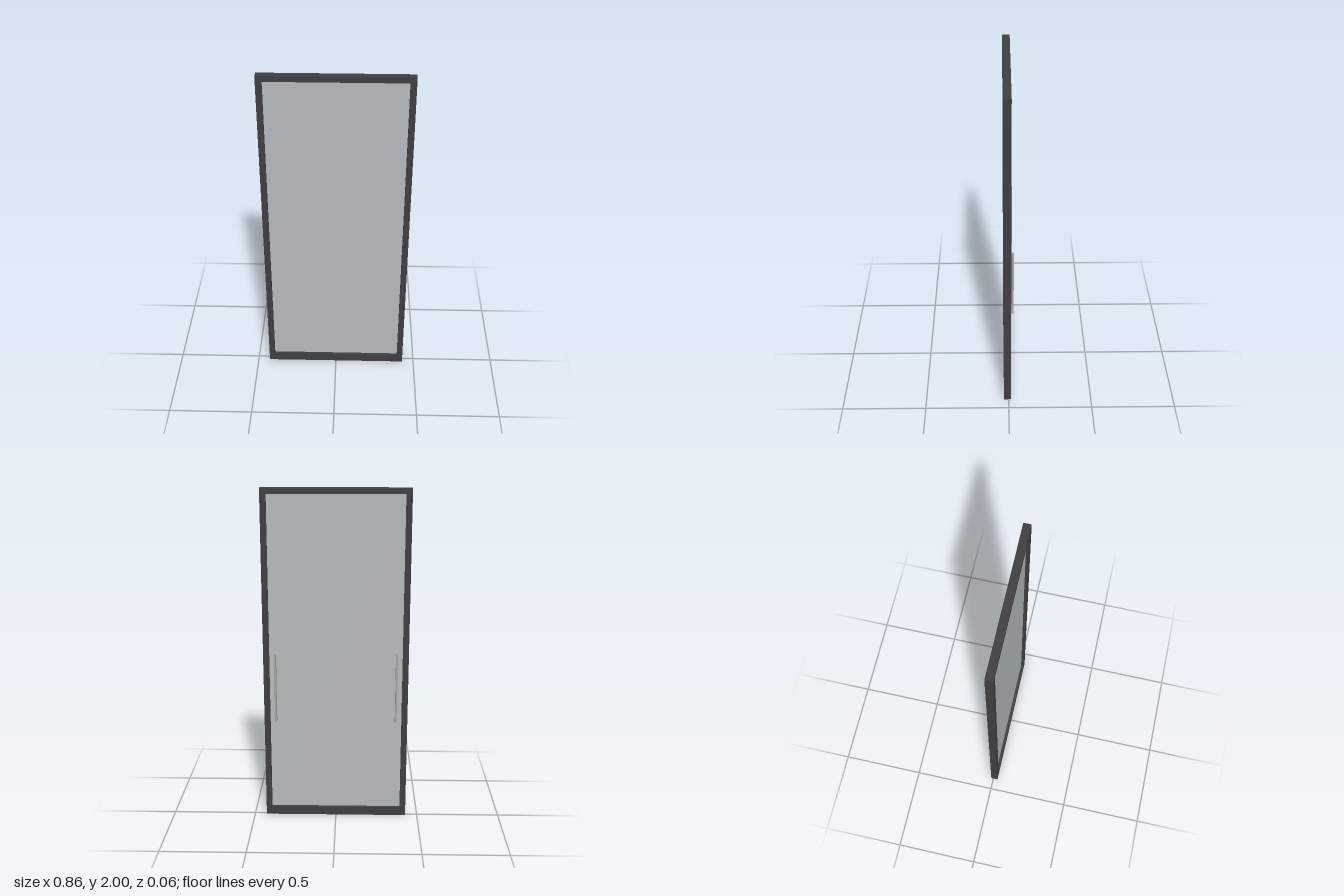
import * as THREE from 'three';

export function createModel() {
  const model = new THREE.Group();
  model.name = 'glassDoor';

  const material = (name, color) => {
    const m = new THREE.MeshStandardMaterial({ color });
    m.name = name;
    return m;
  };
  const frameMat = material('charcoal frame', 0x3e3e42);
  const glassMat = material('pale grey glass', 0xb4b9bb);
  const handleMat = material('grey metal', 0xa0a09e);

  const add = (name, geometry, mat) => {
    const mesh = new THREE.Mesh(geometry, mat);
    mesh.name = name;
    model.add(mesh);
    return mesh;
  };

  // Box given by its lower and upper corners
  const box = (name, mat, [x0, y0, z0], [x1, y1, z1]) =>
    add(name, new THREE.BoxGeometry(x1 - x0, y1 - y0, z1 - z0), mat)
      .position.set((x0 + x1) / 2, (y0 + y1) / 2, (z0 + z1) / 2);

  const halfW = 0.428, innerW = 0.393, bottom = 0.053, top = 1.967;
  const back = -0.014, front = 0.029;

  // Frame: a rectangle with a deeper bottom rail, extruded around the opening
  const outline = new THREE.Shape([
    new THREE.Vector2(-halfW, 0), new THREE.Vector2(halfW, 0),
    new THREE.Vector2(halfW, 2), new THREE.Vector2(-halfW, 2),
  ]);
  outline.holes.push(new THREE.Path([
    new THREE.Vector2(-innerW, bottom), new THREE.Vector2(-innerW, top),
    new THREE.Vector2(innerW, top), new THREE.Vector2(innerW, bottom),
  ]));
  const frame = new THREE.ExtrudeGeometry(outline, { depth: front - back, bevelEnabled: false });
  add('frame', frame.translate(0, 0, back), frameMat);

  // Glass pane set into the middle of the frame
  box('glassPane', glassMat, [-innerW, bottom, 0.002], [innerW, top, 0.011]);

  // Slim vertical pulls on the back of the glass
  for (const [name, x] of [['leftHandle', 0.358], ['rightHandle', -0.358]]) {
    box(name, handleMat, [x - 0.005, 0.615, -0.029], [x + 0.005, 1.035, 0.002]);
  }

  return model;
}
